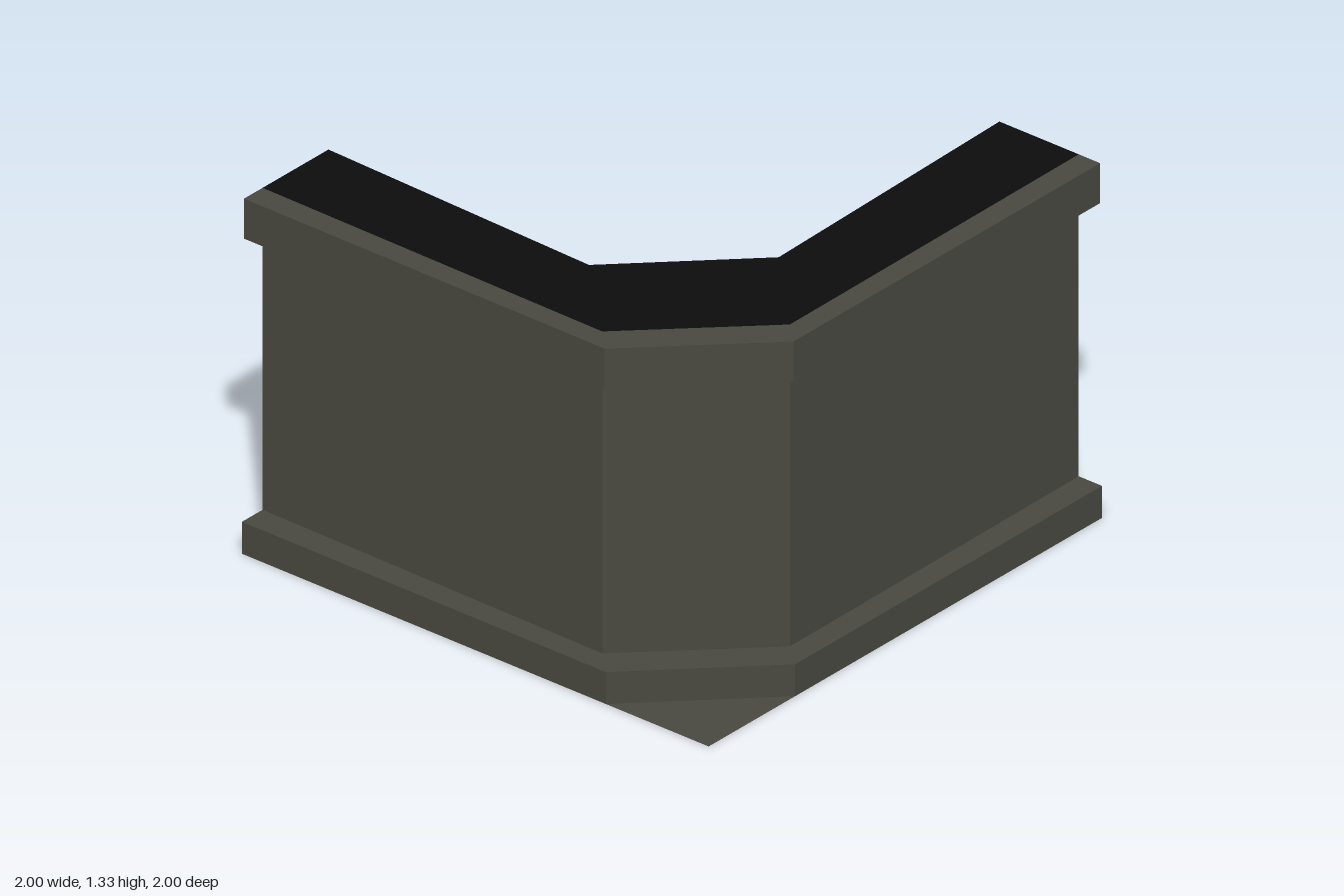
import * as THREE from 'three';

// Plan outlines as [x, z], running from the left-hand end round the corner to the back end
const BASE = [[-1, 1], [0.56, 1], [1, 0.56], [1, -1]];
const COPING = [[-1, 0.99], [0.55, 0.995], [0.992, 0.56], [0.992, -1]];
const CORE = [[-1, 0.895], [0.47, 0.912], [0.91, 0.48], [0.9, -1]];
const INNER = [[-1, 0.56], [0.15, 0.6], [0.592, 0.16], [0.56, -1]];

// Heights
const H_BASE = 0.12, H_CORE = 1.18, H_TOP = 1.33;

// Mesh from a list of four-cornered faces, flat shaded
function quadMesh(name, quads, material) {
  const pos = [];
  for (const [a, b, c, d] of quads) pos.push(...a, ...b, ...c, ...a, ...c, ...d);
  const g = new THREE.BufferGeometry();
  g.setAttribute('position', new THREE.Float32BufferAttribute(pos, 3));
  g.computeVertexNormals();
  const mesh = new THREE.Mesh(g, material);
  mesh.name = name;
  return mesh;
}

const at = (outline, i, y) => [outline[i][0], y, outline[i][1]];

// Faces joining successive rows [outline, height] along the plan
function strip(rows) {
  const quads = [];
  for (let r = 0; r < rows.length - 1; r++) {
    const [p, y0] = rows[r], [q, y1] = rows[r + 1];
    for (let i = 0; i < 3; i++) {
      quads.push([at(p, i, y0), at(p, i + 1, y0), at(q, i + 1, y1), at(q, i, y1)]);
    }
  }
  return quads;
}

// Closing face between two outlines at one end of the wall
function endFace(inner, outer, i, y0, y1) {
  const q = [at(inner, i, y0), at(outer, i, y0), at(outer, i, y1), at(inner, i, y1)];
  return i === 0 ? q : q.reverse();
}

export function createModel() {
  const stone = new THREE.MeshStandardMaterial({ color: 0x494941, side: THREE.DoubleSide });
  stone.name = 'greyStone';
  const dark = new THREE.MeshStandardMaterial({ color: 0x0d0d0d, side: THREE.DoubleSide });
  dark.name = 'darkBacking';

  const group = new THREE.Group();
  group.name = 'cornerWall';

  // Outer face: plinth with ledge, wall panels, overhanging coping
  group.add(quadMesh('plinth', strip([[BASE, 0], [BASE, H_BASE], [CORE, H_BASE]]), stone));
  group.add(quadMesh('wallPanels', strip([[CORE, H_BASE], [CORE, H_CORE]]), stone));
  group.add(quadMesh('coping',
    strip([[CORE, H_CORE], [COPING, H_CORE], [COPING, H_TOP], [CORE, H_TOP]]), stone));

  // Wall top and inner face; the underside stays open
  group.add(quadMesh('wallTop', strip([[CORE, H_TOP], [INNER, H_TOP]]), dark));
  group.add(quadMesh('innerFace', strip([[INNER, H_TOP], [INNER, 0]]), dark));

  // Stepped end caps
  for (const [i, name] of [[0, 'sideEndCap'], [3, 'backEndCap']]) {
    group.add(quadMesh(name, [
      endFace(INNER, CORE, i, 0, H_TOP),
      endFace(CORE, BASE, i, 0, H_BASE),
      endFace(CORE, COPING, i, H_CORE, H_TOP),
    ], dark));
  }

  // Flat square slab on the ground under the cut corner
  const slab = new THREE.Mesh(new THREE.PlaneGeometry(0.44, 0.44), stone);
  slab.name = 'cornerSlab';
  slab.rotation.x = -Math.PI / 2;
  slab.position.set(0.78, 0, 0.78);
  group.add(slab);

  return group;
}
